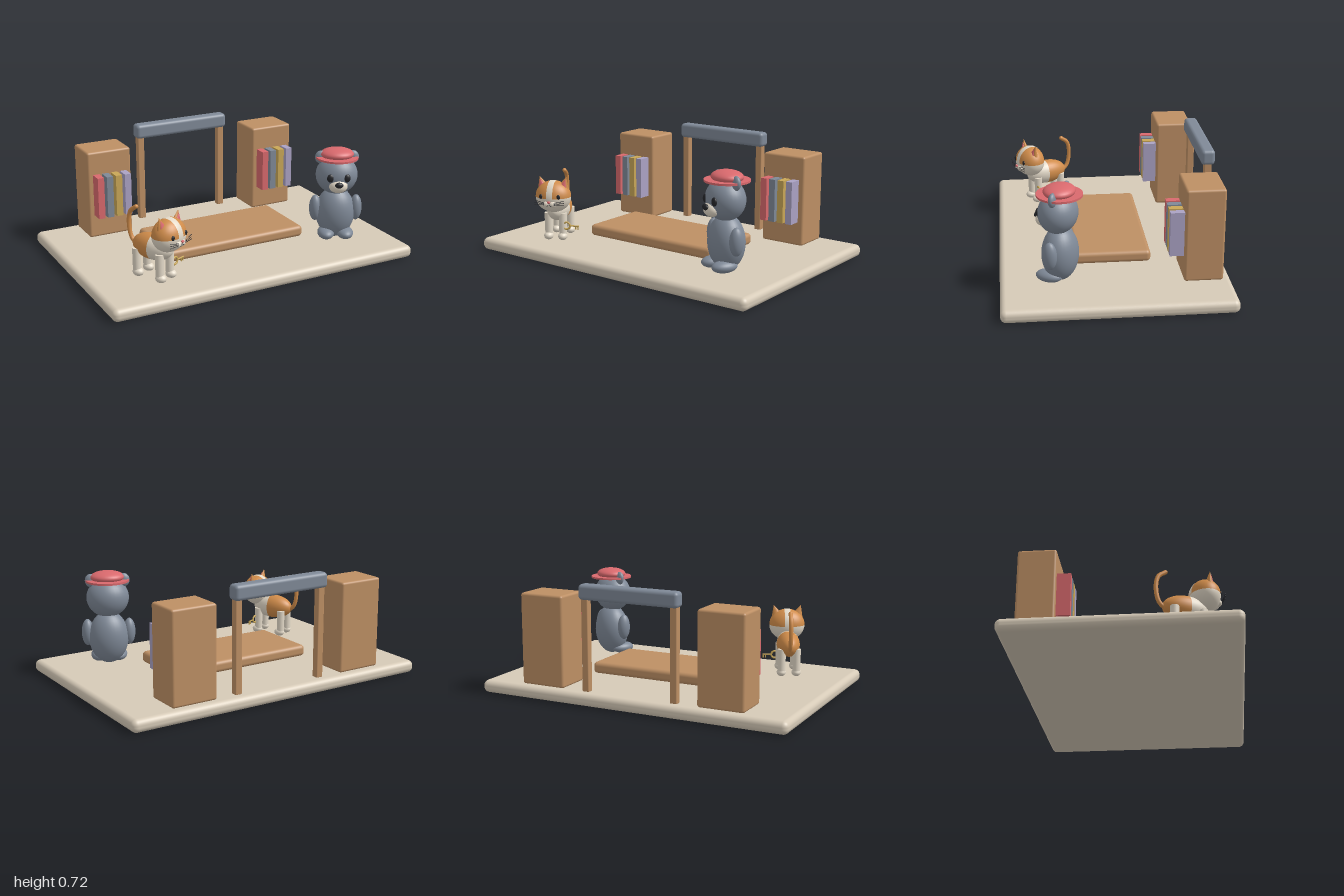
import * as THREE from 'three';
import { RoundedBoxGeometry } from 'three/addons/geometries/RoundedBoxGeometry.js';

const mat = (name, color, side = THREE.FrontSide) => {
  const m = new THREE.MeshStandardMaterial({ color, side });
  m.name = name;
  return m;
};

export function createModel() {
  const M = {
    stone: mat('stone', 0xd6cab7),
    wood: mat('wood', 0xbd8f64),
    slate: mat('slate', 0x7f8997),
    red: mat('red', 0xd9696d),
    gold: mat('gold', 0xc9a757),
    lavender: mat('lavender', 0xaba2c4),
    dark: mat('dark', 0x25262a),
    orange: mat('orange', 0xd08c4a),
    cream: mat('cream', 0xe3d9c8),
  };
  const model = new THREE.Group();
  model.name = 'playScene';

  const add = (parent, name, geo, material, x = 0, y = 0, z = 0) => {
    const mesh = new THREE.Mesh(geo, material);
    mesh.name = name;
    mesh.position.set(x, y, z);
    parent.add(mesh);
    return mesh;
  };
  // Rounded box given by its extents
  const block = (parent, name, material, x0, x1, y0, y1, z0, z1, r) =>
    add(parent, name, new RoundedBoxGeometry(x1 - x0, y1 - y0, z1 - z0, 4, r), material,
      (x0 + x1) / 2, (y0 + y1) / 2, (z0 + z1) / 2);
  const blob = (parent, name, material, p, r) =>
    add(parent, name, new THREE.SphereGeometry(1, 32, 20).scale(...r), material, ...p);
  const rod = (parent, name, material, a, b, r) => {
    const from = new THREE.Vector3(...a), to = new THREE.Vector3(...b);
    const dir = to.clone().sub(from);
    const mesh = add(parent, name, new THREE.CylinderGeometry(r, r, dir.length(), 8), material);
    mesh.position.copy(from).add(to).multiplyScalar(0.5);
    mesh.quaternion.setFromUnitVectors(new THREE.Vector3(0, 1, 0), dir.normalize());
    return mesh;
  };
  const group = (name, x, z, turn) => {
    const g = new THREE.Group();
    g.name = name;
    g.position.set(x, 0, z);
    g.rotation.y = turn;
    model.add(g);
    return g;
  };

  // Floor slab and low platform
  block(model, 'floor', M.stone, -1, 1, 0, 0.078, -0.665, 0.665, 0.034);
  block(model, 'platform', M.wood, -0.467, 0.467, 0.085, 0.157, -0.23, 0.225, 0.025);

  // Gate: two posts and a beam
  block(model, 'beam', M.slate, -0.323, 0.323, 0.628, 0.72, -0.625, -0.543, 0.022);
  for (const s of [-1, 1])
    block(model, 'post', M.wood, s * 0.29 - 0.022, s * 0.29 + 0.022, 0.075, 0.64, -0.606, -0.562, 0.006);

  // Bookcases with a row of books each
  for (const s of [-1, 1]) {
    const cx = s * 0.585;
    block(model, 'bookcase', M.wood, cx - 0.145, cx + 0.145, 0.078, 0.638, -0.615, -0.387, 0.015);
    [M.red, M.slate, M.gold, M.lavender].forEach((m, i) => {
      const x = cx + (i - 1.5) * 0.06;
      add(model, 'book', new THREE.BoxGeometry(0.042, 0.266, 0.1), m, x, 0.36, -0.355);
    });
  }

  // Bear with a hat
  const bear = group('bear', 0.643, 0.315, -0.45);
  blob(bear, 'bearBody', M.slate, [0, 0.255, 0], [0.122, 0.163, 0.105]);
  blob(bear, 'bearHead', M.slate, [0, 0.503, 0.01], [0.13, 0.122, 0.113]);
  blob(bear, 'snout', M.cream, [0, 0.455, 0.1], [0.058, 0.043, 0.042]);
  blob(bear, 'bearNose', M.dark, [0, 0.472, 0.138], [0.026, 0.018, 0.015]);
  for (const s of [-1, 1]) {
    blob(bear, 'bearEye', M.dark, [s * 0.05, 0.508, 0.109], [0.022, 0.026, 0.014]);
    blob(bear, 'bearEar', M.slate, [s * 0.1, 0.612, 0], [0.036, 0.042, 0.022]);
    blob(bear, 'arm', M.slate, [s * 0.128, 0.285, 0.01], [0.037, 0.083, 0.042]);
    blob(bear, 'foot', M.slate, [s * 0.06, 0.13, 0.045], [0.052, 0.036, 0.08]);
  }
  add(bear, 'hatBrim', new THREE.CylinderGeometry(0.132, 0.132, 0.012, 48), M.red, 0, 0.612, 0);
  blob(bear, 'hatCrown', M.red, [0, 0.633, 0], [0.104, 0.038, 0.09]);

  // Cat body: cream chest in front, orange behind
  const cat = group('cat', -0.62, 0.34, 0.45);
  const bodyPart = (start, length) => new THREE.SphereGeometry(1, 32, 16, 0, Math.PI * 2, start, length)
    .rotateX(Math.PI / 2).scale(0.072, 0.078, 0.14);
  add(cat, 'chest', bodyPart(0, 1.5), M.cream, 0, 0.27, 0);
  add(cat, 'hindBody', bodyPart(1.5, Math.PI - 1.5), M.orange, 0, 0.27, 0);
  blob(cat, 'neck', M.cream, [0, 0.3, 0.08], [0.055, 0.065, 0.05]);
  for (const s of [-1, 1]) for (const z of [-0.085, 0.085]) {
    add(cat, 'leg', new THREE.CylinderGeometry(0.026, 0.024, 0.15, 20), M.cream, s * 0.046, 0.18, z);
    blob(cat, 'paw', M.cream, [s * 0.046, 0.107, z + 0.008], [0.029, 0.025, 0.035]);
  }
  const tailPath = new THREE.CatmullRomCurve3([
    [0, 0.25, -0.115], [0, 0.29, -0.16], [0, 0.38, -0.178], [0, 0.45, -0.163], [0, 0.485, -0.12],
  ].map((p) => new THREE.Vector3(...p)));
  add(cat, 'tail', new THREE.TubeGeometry(tailPath, 32, 0.013, 12), M.orange);
  blob(cat, 'tailTip', M.orange, [0, 0.485, -0.12], [0.013, 0.013, 0.013]);

  // Cat head: orange cap, cream lower face, cream stripe over the top
  const head = new THREE.Group();
  head.name = 'catHead';
  head.position.set(0, 0.37, 0.12);
  cat.add(head);
  const size = [0.112, 0.1, 0.09];
  add(head, 'headCap', new THREE.SphereGeometry(1, 36, 14, 0, Math.PI * 2, 0, Math.PI / 2).scale(...size), M.orange);
  add(head, 'lowerFace', new THREE.SphereGeometry(1, 36, 14, 0, Math.PI * 2, Math.PI / 2, Math.PI / 2).scale(...size), M.cream);
  add(head, 'headStripe', new THREE.SphereGeometry(1.015, 28, 4, Math.PI / 2, Math.PI, Math.PI / 2 - 0.17, 0.34)
    .rotateZ(Math.PI / 2).scale(...size), M.cream);
  blob(head, 'catNose', M.red, [0, -0.018, 0.1], [0.011, 0.008, 0.008]);
  for (const s of [-1, 1]) {
    blob(head, 'muzzle', M.cream, [s * 0.018, -0.035, 0.079], [0.025, 0.02, 0.02]);
    blob(head, 'catEye', M.dark, [s * 0.056, 0.012, 0.077], [0.012, 0.015, 0.007]);
    const ear = add(head, 'catEar', new THREE.ConeGeometry(0.036, 0.075, 20).scale(1, 1, 0.55), M.orange, s * 0.075, 0.09, 0);
    const inner = add(ear, 'innerEar', new THREE.ConeGeometry(0.024, 0.055, 16).scale(1, 1, 0.4), M.red, 0, -0.005, 0.012);
    ear.rotation.z = -s * 0.3;
    inner.rotation.x = -0.12;
    for (const k of [-1, 0, 1])
      rod(head, 'whisker', M.dark, [s * 0.03, -0.03 + k * 0.006, 0.096], [s * 0.095, -0.022 + k * 0.014, 0.088], 0.0017);
    rod(head, 'mouth', M.dark, [0, -0.033, 0.094], [s * 0.016, -0.045, 0.098], 0.002);
  }

  // Key held beside the front leg
  const key = new THREE.Group();
  key.name = 'key';
  key.position.set(0.075, 0.178, 0.1);
  cat.add(key);
  add(key, 'keyRing', new THREE.TorusGeometry(0.022, 0.006, 10, 28), M.gold);
  rod(key, 'keyShaft', M.gold, [0.02, 0, 0], [0.078, 0, 0], 0.005);
  for (const x of [0.058, 0.073])
    add(key, 'keyTooth', new THREE.BoxGeometry(0.007, 0.022, 0.007), M.gold, x, -0.011, 0);

  return model;
}
